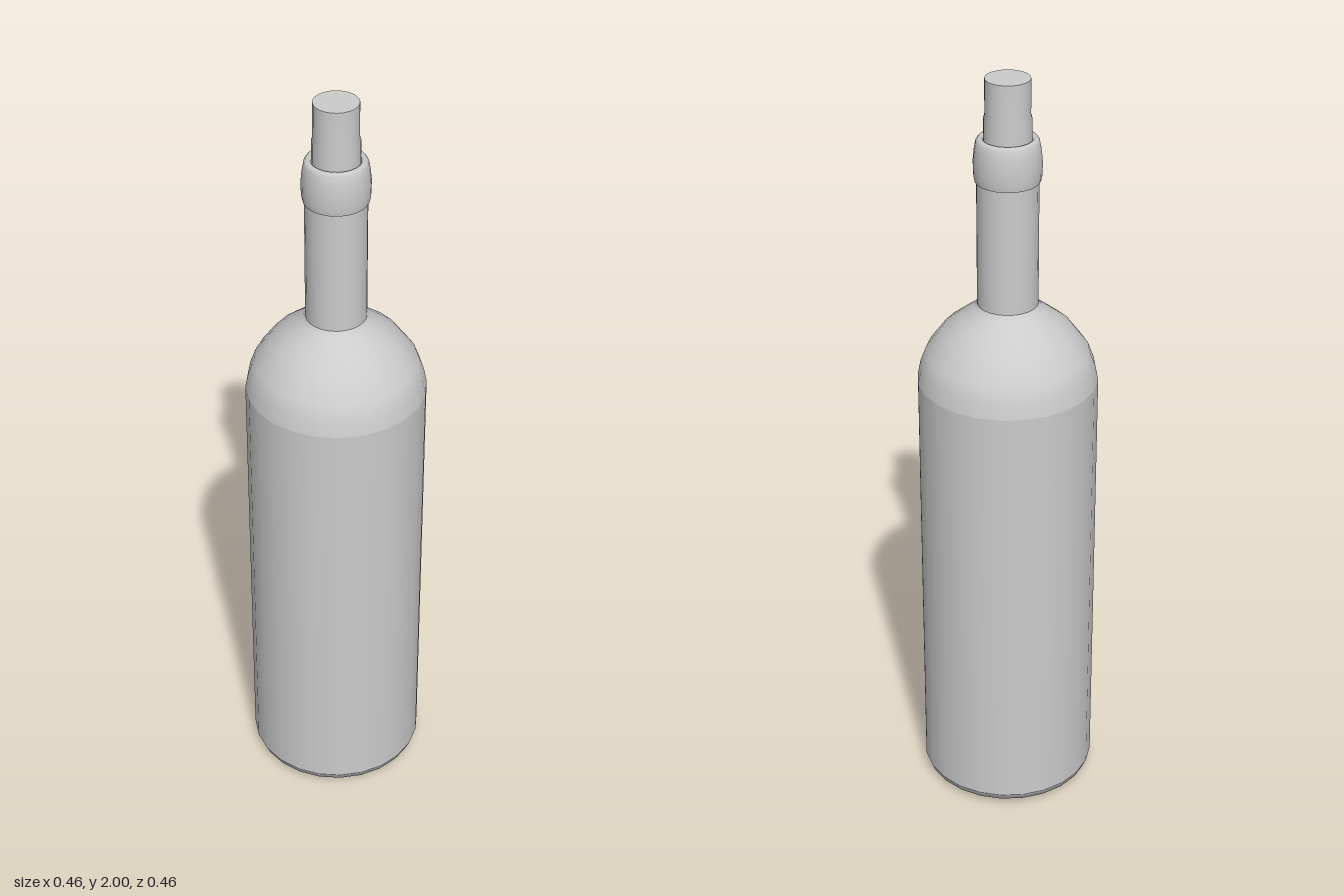
import * as THREE from 'three';

const SIDES = 24;

// Revolve a smooth profile, listed outward-facing from bottom to top
function turned(name, profile, sides = SIDES) {
  const points = profile.map(([r, y]) => new THREE.Vector2(r, y));
  const material = new THREE.MeshStandardMaterial({ color: 0xcccccc });
  const mesh = new THREE.Mesh(new THREE.LatheGeometry(points, sides), material);
  mesh.name = name;
  return mesh;
}

export function createModel() {
  const model = new THREE.Group();
  model.name = 'corkedBottle';

  // Glass: hollow punt underneath, straight body, round shoulder and neck
  const bottle = new THREE.Group();
  bottle.name = 'bottle';
  bottle.add(
    turned('punt', [
      [0, 0.13], [0.05, 0.12], [0.1, 0.085], [0.135, 0.03], [0.155, 0.006],
      [0.18, 0], [0.205, 0.006], [0.222, 0.016], [0.23, 0.035],
    ]),
    turned('body', [[0.23, 0.035], [0.23, 1.2]]),
    turned('shoulder', [
      [0.23, 1.2], [0.222, 1.24], [0.207, 1.28], [0.165, 1.337],
      [0.12, 1.373], [0.085, 1.4], [0.077, 1.412],
    ]),
    turned('neck', [[0.077, 1.412], [0.077, 1.745]]),
  );

  // Rounded collar around the mouth, turning in to the bore
  const collar = new THREE.Group();
  collar.name = 'collar';
  collar.add(
    turned('collarUnderside', [[0.075, 1.74], [0.081, 1.74]]),
    turned('collarBand', [
      [0.081, 1.74], [0.084, 1.755], [0.085, 1.79], [0.082, 1.82], [0.078, 1.842],
      [0.072, 1.85], [0.064, 1.85], [0.06, 1.845],
    ]),
    turned('bore', [[0.06, 1.845], [0.06, 1.75]]),
  );
  bottle.add(collar);

  // Cork, slightly wider where it enters the mouth
  const cork = new THREE.Group();
  cork.name = 'cork';
  cork.add(
    turned('corkSide', [[0.06, 1.75], [0.059, 1.9], [0.056, 1.91], [0.056, 2]]),
    turned('corkTop', [[0.056, 2], [0, 2]]),
    turned('corkBase', [[0, 1.75], [0.06, 1.75]]),
  );

  model.add(bottle, cork);
  return model;
}
